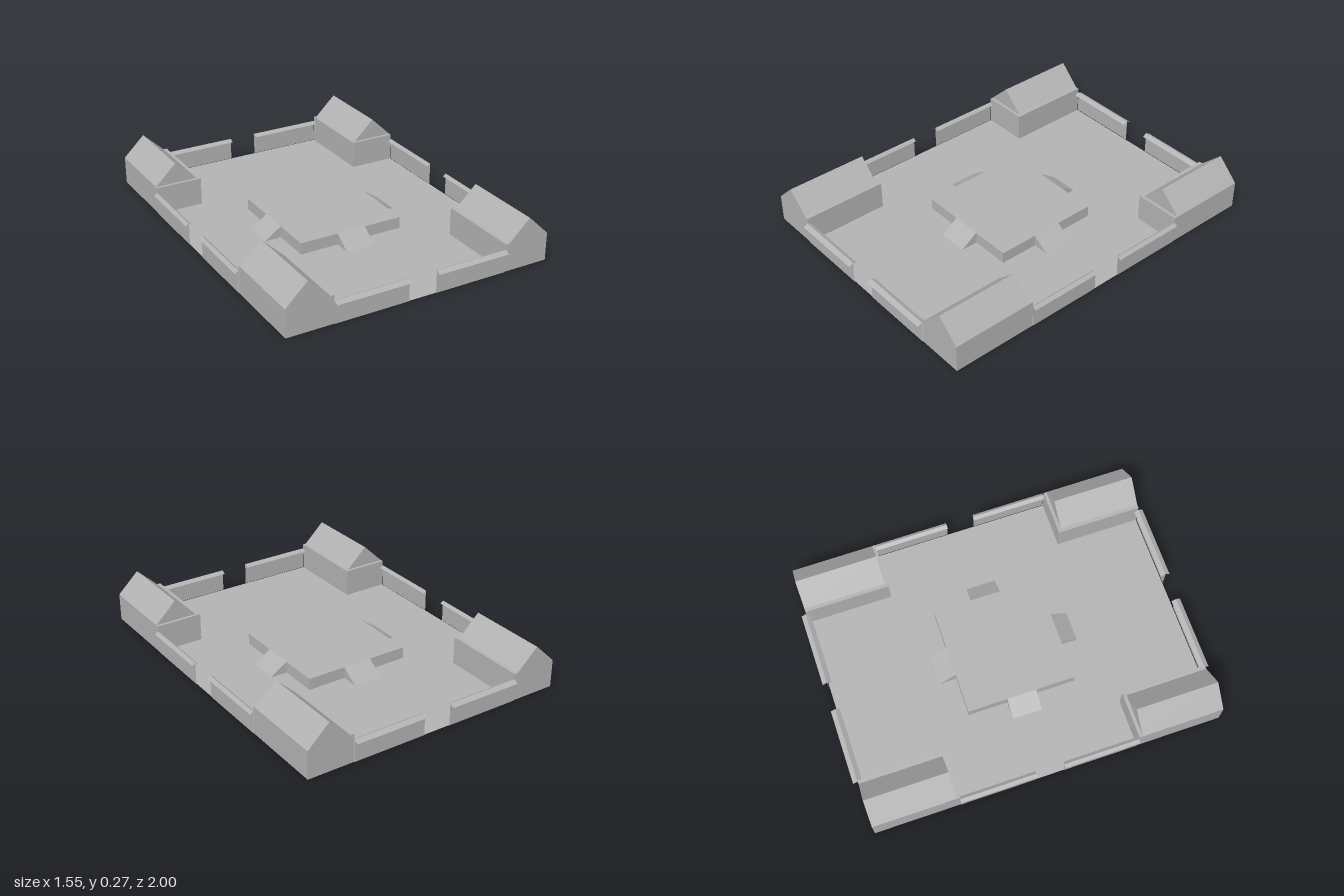
import * as THREE from 'three';

const stone = new THREE.MeshStandardMaterial({ color: 0xb2b2b2, side: THREE.DoubleSide });
stone.name = 'plain grey';

// Flat mesh from convex polygons, mirrored by sx and sz, optionally with x and z swapped
function panels(name, polygons, sx = 1, sz = 1, swap = false) {
  const pos = [];
  const flip = (sx * sz < 0) !== swap;
  for (const polygon of polygons) {
    let pts = polygon.map(([x, y, z]) => (swap ? [z * sx, y, x * sz] : [x * sx, y, z * sz]));
    if (flip) pts = pts.reverse();
    for (let i = 1; i < pts.length - 1; i++) pos.push(...pts[0], ...pts[i], ...pts[i + 1]);
  }
  const geo = new THREE.BufferGeometry();
  geo.setAttribute('position', new THREE.Float32BufferAttribute(pos, 3));
  geo.computeVertexNormals();
  const mesh = new THREE.Mesh(geo, stone);
  mesh.name = name;
  return mesh;
}

// Cross outline: a wide box (x to a, z to b) joined with a long box (x to c, z to d)
function cross(a, b, c, d) {
  return [[a, -b], [a, b], [c, b], [c, d], [-c, d], [-c, b], [-a, b], [-a, -b],
    [-c, -b], [-c, -d], [c, -d], [c, -b]].map(([x, y]) => new THREE.Vector2(x, y));
}

const X = 0.755, Z = 0.972;        // outer edges of the compound
const HX = 0.495, HZ = 0.497;      // inner edges of the corner houses
const P = 0.303, PH = 0.065;       // platform half size and height
const R = 0.4, RW = 0.083;         // ramp reach and half width

// Corner house: open-bottomed body, narrow ledge and gabled roof
function house(sx, sz) {
  const g = new THREE.Group();
  g.name = 'cornerHouse';
  const e = 0.155, top = 0.27, rx = 0.515, mx = 0.635, rz = 0.515;
  g.add(panels('houseWalls', [
    [[HX, 0, Z], [X, 0, Z], [X, e, Z], [HX, e, Z]],
    [[X, 0, HZ], [HX, 0, HZ], [HX, e, HZ], [X, e, HZ]],
    [[X, 0, Z], [X, 0, HZ], [X, e, HZ], [X, e, Z]],
    [[HX, 0, HZ], [HX, 0, Z], [HX, e, Z], [HX, e, HZ]],
  ], sx, sz));
  g.add(panels('houseLedge', [
    [[HX, e, HZ], [HX, e, Z], [rx, e, Z], [rx, e, HZ]],
    [[rx, e, HZ], [rx, e, rz], [X, e, rz], [X, e, HZ]],
  ], sx, sz));
  g.add(panels('houseRoof', [
    [[rx, e, rz], [rx, e, Z], [mx, top, Z], [mx, top, rz]],
    [[X, e, Z], [X, e, rz], [mx, top, rz], [mx, top, Z]],
    [[rx, e, Z], [X, e, Z], [mx, top, Z]],
    [[X, e, rz], [rx, e, rz], [mx, top, rz]],
  ], sx, sz));
  return g;
}

// Thin boundary wall along x at depth d, with a small pitched coping
function wall(d, half, end, sx, sz, swap) {
  const g = new THREE.Group();
  g.name = 'boundaryWall';
  const a = 0.078, e = 0.113, top = 0.127, i = d - half, o = d + half;
  g.add(panels('wallPanel', [[[a, 0, d], [end, 0, d], [end, top, d], [a, top, d]]], sx, sz, swap));
  g.add(panels('wallCoping', [
    [[a, e, o], [end, e, o], [end, top, d], [a, top, d]],
    [[end, e, i], [a, e, i], [a, top, d], [end, top, d]],
  ], sx, sz, swap));
  return g;
}

// Ramp on one side of the platform
function ramp(s, swap) {
  return panels('ramp', [
    [[-RW, 0, R], [RW, 0, R], [RW, PH, P], [-RW, PH, P]],
    [[RW, 0, R], [RW, 0, P], [RW, PH, P]],
    [[-RW, 0, P], [-RW, 0, R], [-RW, PH, P]],
  ], s, s, swap);
}

export function createModel() {
  const model = new THREE.Group();
  model.name = 'walledCourtyard';

  // Courtyard floor with an opening beneath the platform
  const shape = new THREE.Shape(cross(X, HZ, HX, Z));
  const opening = [[P, RW], [P, P], [RW, P], [RW, R]];
  const loop = [];
  for (const [sx, sy] of [[1, 1], [-1, 1], [-1, -1], [1, -1]]) {
    const corner = [[R, RW], ...opening].map(([x, y]) => new THREE.Vector2(x * sx, y * sy));
    loop.push(...(sx * sy > 0 ? corner : corner.reverse()));
  }
  shape.holes.push(new THREE.Path(loop));
  const floor = new THREE.Mesh(new THREE.ShapeGeometry(shape).rotateX(-Math.PI / 2), stone);
  floor.name = 'courtyardFloor';
  model.add(floor);

  // Central platform, its side walls broken by the ramps
  model.add(panels('platformTop', [[[-P, PH, P], [P, PH, P], [P, PH, -P], [-P, PH, -P]]]));
  for (const s of [1, -1]) {
    for (const swap of [false, true]) {
      model.add(panels('platformSides', [
        [[-P, 0, P], [-RW, 0, P], [-RW, PH, P], [-P, PH, P]],
        [[RW, 0, P], [P, 0, P], [P, PH, P], [RW, PH, P]],
      ], s, s, swap));
      model.add(ramp(s, swap));
    }
  }

  // Houses and boundary walls, mirrored to all four quarters
  for (const sx of [1, -1]) {
    for (const sz of [1, -1]) {
      model.add(house(sx, sz));
      model.add(wall(0.975, 0.025, HX, sx, sz, false));
      model.add(wall(0.757, 0.018, HZ, sx, sz, true));
    }
  }
  return model;
}
